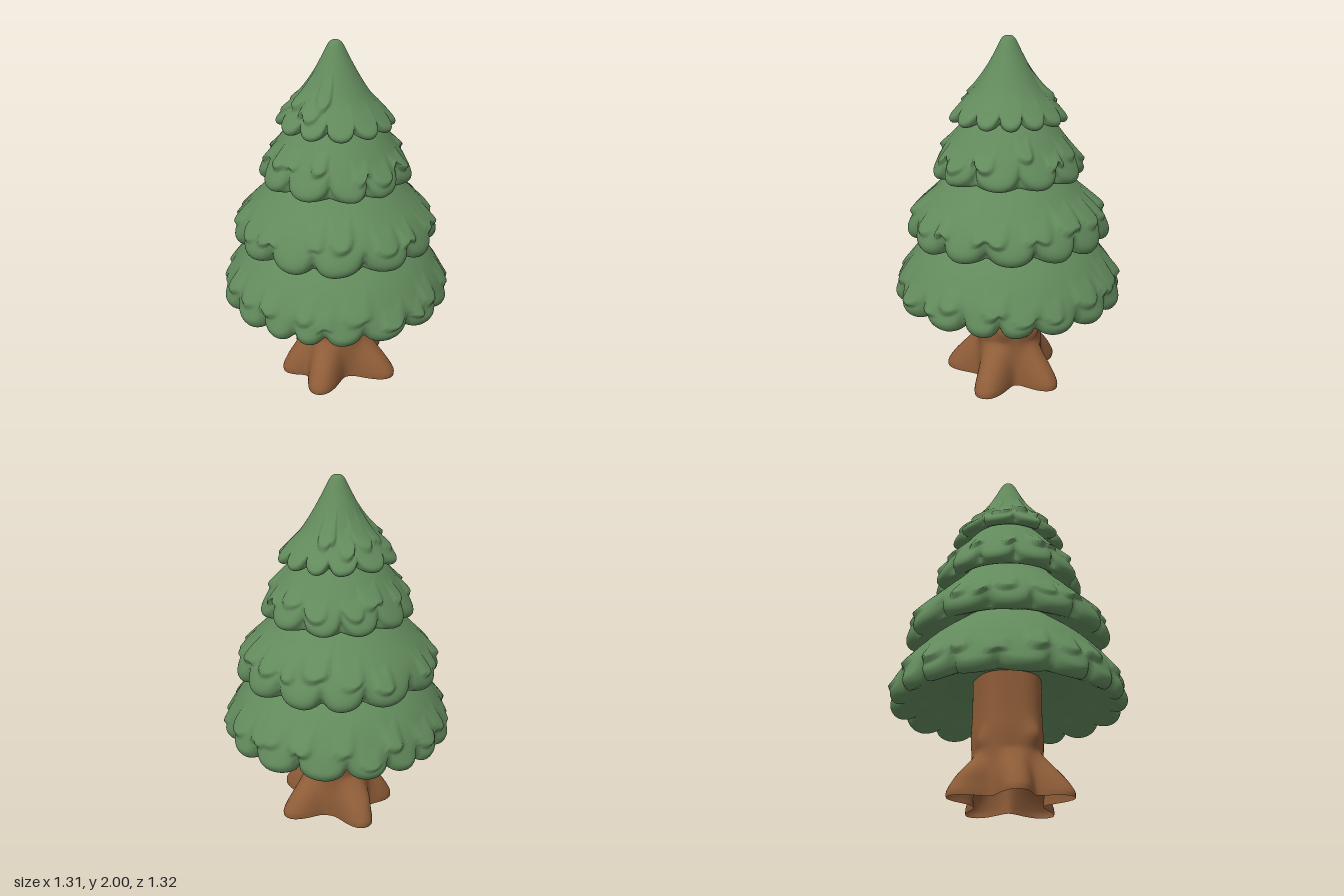
import * as THREE from 'three';

const DEG = Math.PI / 180;

// Small seeded random generator
function seeded(seed) {
  let s = seed;
  return () => (s = (s * 16807) % 2147483647) / 2147483647;
}

// Smooth surface closed around the y axis; fn(angle, v) gives [radius, y], v runs downwards
function ringSurface(around, down, fn) {
  const pos = [], index = [];
  for (let j = 0; j <= down; j++) {
    for (let i = 0; i < around; i++) {
      const a = (i / around) * Math.PI * 2;
      const [r, y] = fn(a, j / down);
      pos.push(r * Math.sin(a), y, r * Math.cos(a));
      if (j === down) continue;
      const n = (i + 1) % around, p = j * around, q = p + around;
      index.push(p + i, q + i, p + n, p + n, q + i, q + n);
    }
  }
  const g = new THREE.BufferGeometry();
  g.setAttribute('position', new THREE.Float32BufferAttribute(pos, 3));
  g.setIndex(index);
  g.computeVertexNormals();
  return g;
}

const { smoothstep } = THREE.MathUtils;
const curve = pts => new THREE.SplineCurve(pts.map(p => new THREE.Vector2(...p)));
const angleGap = (a, b) => Math.atan2(Math.sin(a - b), Math.cos(a - b));

// 1 at the middle of a round scallop, 0 in the sharp notch between two scallops
function scallop(a, lobes) {
  const d = lobes.map(l => Math.abs(angleGap(a, l * DEG))).sort((x, y) => x - y);
  const u = (2 * d[0]) / (d[0] + d[1]);
  return Math.sqrt(Math.max(0, 1 - u * u));
}

const rnd = seeded(4711);
const evenLobes = (n, phase) =>
  Array.from({ length: n }, (_, i) => ((i + (rnd() - 0.5) * 0.4) * 360) / n + phase);

// Profiles [radius, y] run from the top, round the rim (index rim) and in underneath;
// tufts are spread over the arc given in degrees
const TIERS = [
  { name: 'topTier', rim: 6, inset: 0.2, lift: 0.065, tufts: 8, arc: [135, 320], size: 0.055,
    lobes: [20, 45, 70, 98, 125, 150, 187, 222, 262, 290, 322, 352],
    profile: [[0.001, 2], [0.035, 1.985], [0.08, 1.9], [0.135, 1.8], [0.2, 1.7], [0.275, 1.62],
      [0.325, 1.565], [0.31, 1.535], [0.26, 1.55], [0.15, 1.62]] },
  { name: 'upperTier', rim: 4, inset: 0.16, lift: 0.08, tufts: 14, arc: [0, 360], size: 0.06,
    lobes: evenLobes(11, 0),
    profile: [[0.12, 1.68], [0.23, 1.56], [0.31, 1.46], [0.38, 1.36], [0.425, 1.275],
      [0.405, 1.235], [0.34, 1.25], [0.2, 1.36]] },
  { name: 'middleTier', rim: 5, inset: 0.12, lift: 0.075, tufts: 18, arc: [0, 360], size: 0.065,
    lobes: evenLobes(13, -15),
    profile: [[0.2, 1.38], [0.3, 1.27], [0.4, 1.17], [0.495, 1.07], [0.555, 0.98], [0.575, 0.915],
      [0.545, 0.875], [0.48, 0.9], [0.3, 1.0]] },
  { name: 'lowerTier', rim: 5, inset: 0.1, lift: 0.055, tufts: 22, arc: [0, 360], size: 0.068,
    lobes: [9, 30, 46, 67, 90, 112, 140, 163, 183, 198, 219, 243, 267, 287, 302, 319, 342],
    profile: [[0.3, 1.0], [0.425, 0.9], [0.525, 0.8], [0.6, 0.69], [0.64, 0.6], [0.652, 0.545],
      [0.615, 0.505], [0.54, 0.54], [0.35, 0.64], [0.15, 0.69]] },
];

function makeTier(tier, material) {
  const line = curve(tier.profile);
  const rimV = tier.rim / (tier.profile.length - 1);
  const [from, to] = tier.arc;

  // Overlapping tufts in the slope: each swells downwards and ends in a rounded lip
  const tufts = Array.from({ length: tier.tufts }, (_, i) => {
    const v = rimV * (0.58 + 0.22 * rnd());
    const size = tier.size * (0.7 + 0.5 * rnd());
    return {
      a: (from + ((i + (rnd() - 0.5) * 0.7) * (to - from)) / tier.tufts) * DEG,
      v, half: size / line.getPoint(v).x, height: 0.02 + 0.015 * rnd(),
    };
  });
  const swell = (a, v) => {
    let most = 0;
    for (const t of tufts) {
      const x = angleGap(a, t.a) / t.half;
      if (Math.abs(x) >= 1) continue;
      const round = Math.sqrt(1 - x * x);
      const s = (t.v + rimV * 0.14 * round - v) / (rimV * 0.3);
      if (s <= 0 || s >= 1) continue;
      most = Math.max(most, t.height * round * smoothstep(s, 0, 0.18) * (1 - s));
    }
    return most;
  };

  const boughs = new THREE.Mesh(ringSurface(200, 68, (a, v) => {
    const p = line.getPoint(v);
    const w = v < rimV
      ? smoothstep(v, rimV * 0.58, rimV)
      : 1 - smoothstep(v, rimV + 0.08, rimV + 0.3);
    const notch = (1 - scallop(a, tier.lobes)) * w;
    const bump = swell(a, v);
    return [p.x * (1 - tier.inset * notch) + bump, p.y + tier.lift * notch + bump * 0.5];
  }), material);
  boughs.name = tier.name;
  return boughs;
}

// Hollow trunk with five spreading roots and a few knots
function makeTrunk(material) {
  const line = curve([[0.19, 0.7], [0.19, 0.5], [0.195, 0.35], [0.188, 0.22], [0.19, 0.1], [0.185, 0]]);
  const roots = [[20, 0.215], [90, 0.195], [175, 0.185], [245, 0.16], [300, 0.2]];
  const knots = [[-85, 0.33, 0.026], [95, 0.31, 0.022], [35, 0.34, 0.022], [-5, 0.3, 0.012],
    [190, 0.3, 0.02], [190, 0.14, 0.02]];
  const mesh = new THREE.Mesh(ringSurface(120, 48, (a, v) => {
    const p = line.getPoint(v);
    const y = Math.max(0, p.y);
    let r = p.x + 0.007 * Math.cos(5 * a + 0.6);
    const reach = Math.max(0, 1 - (y / 0.26) ** 1.4) ** 1.2 - 0.05 * Math.max(0, 1 - y / 0.03);
    for (const [k, l] of roots) {
      r += l * reach * Math.exp(-(Math.abs(angleGap(a, k * DEG) / (21 * DEG)) ** 2.3));
    }
    for (const [k, ky, h] of knots) {
      r += h * Math.exp(-((angleGap(a, k * DEG) / 0.24) ** 2) - ((y - ky) / 0.06) ** 2);
    }
    return [r, y];
  }), material);
  mesh.name = 'trunk';
  return mesh;
}

export function createModel() {
  const leaf = new THREE.MeshStandardMaterial({ color: 0x628a5c });
  leaf.name = 'needleGreen';
  const bark = new THREE.MeshStandardMaterial({ color: 0x8f5d38, side: THREE.DoubleSide });
  bark.name = 'barkBrown';
  const tree = new THREE.Group();
  tree.name = 'firTree';
  tree.add(makeTrunk(bark));
  for (const tier of TIERS) tree.add(makeTier(tier, leaf));
  return tree;
}
